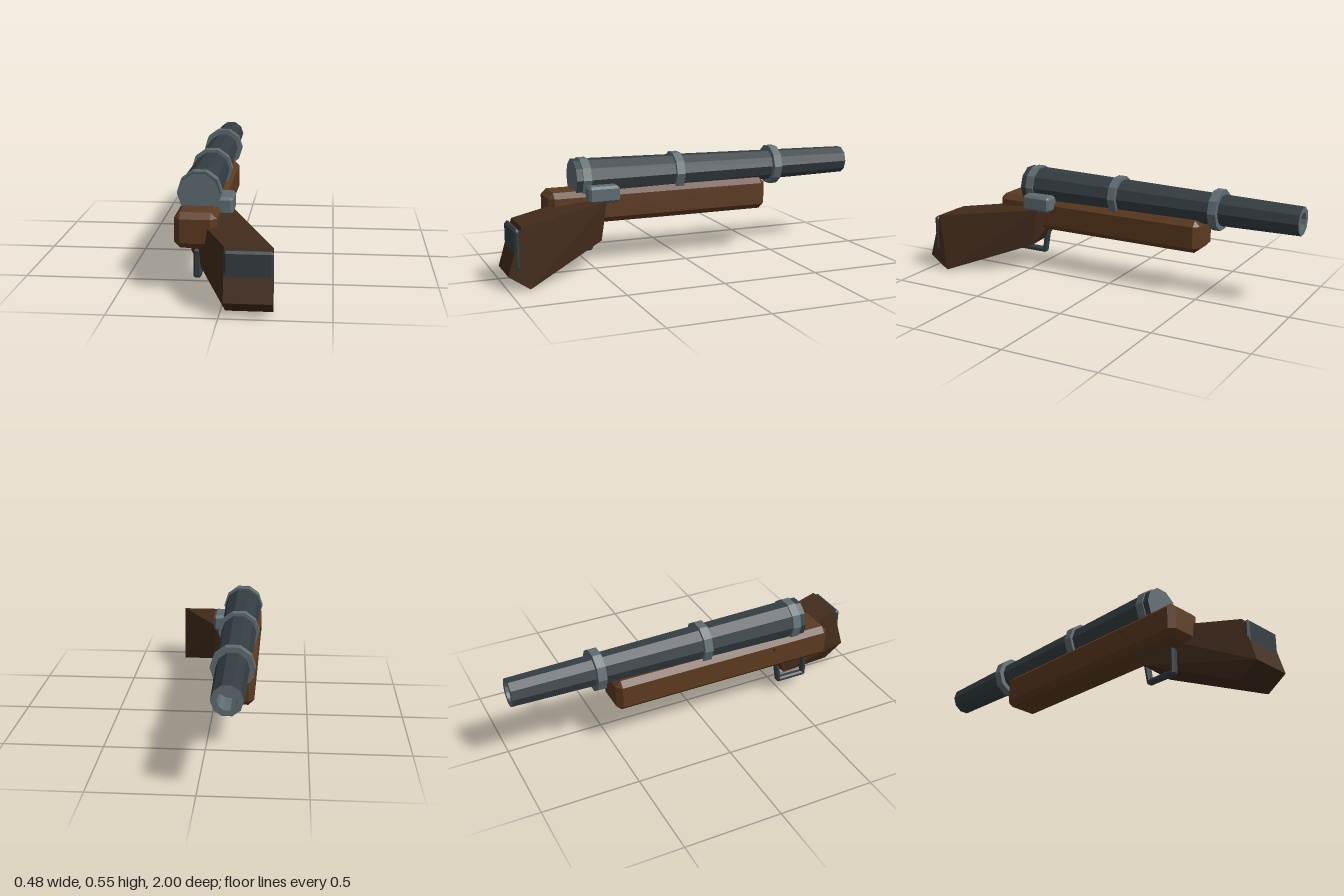
import * as THREE from 'three';
import { ConvexGeometry } from 'three/addons/geometries/ConvexGeometry.js';

const mat = (color, side = THREE.FrontSide) =>
  new THREE.MeshStandardMaterial({ color, flatShading: true, side });
const SIDES = 10, AXIS_X = -0.135, AXIS_Y = 0.454;

// Box with bevelled edges, given by its bounds and the bevel size
function bevelBox([x0, x1], [y0, y1], [z0, z1], c) {
  const h = [(x1 - x0) / 2, (y1 - y0) / 2, (z1 - z0) / 2];
  const pts = [];
  for (const sx of [-1, 1]) for (const sy of [-1, 1]) for (const sz of [-1, 1])
    for (let k = 0; k < 3; k++) {
      const d = h.map((v, i) => (i === k ? v : v - c));
      pts.push(new THREE.Vector3(sx * d[0], sy * d[1], sz * d[2]));
    }
  return new ConvexGeometry(pts).translate((x0 + x1) / 2, (y0 + y1) / 2, (z0 + z1) / 2);
}

// Turn a y-axis geometry onto the barrel axis, with corners at the sides
function onAxis(geo, z = 0) {
  return geo.rotateY(Math.PI / 2).rotateX(Math.PI / 2).translate(AXIS_X, AXIS_Y, z);
}

export function createModel() {
  const group = new THREE.Group();
  const wood = mat(0x5c3a20), darkWood = mat(0x422b1b);
  const steel = mat(0x343d42), grey = mat(0x5f6c72);
  const greyOpen = mat(0x5f6c72, THREE.DoubleSide);
  const add = (name, geo, material) => {
    const mesh = new THREE.Mesh(geo, material);
    mesh.name = name;
    group.add(mesh);
    return mesh;
  };

  // Tapered barrel, rear at +z and muzzle at -z
  add('barrel', onAxis(new THREE.CylinderGeometry(0.101, 0.073, 1.575, SIDES, 1, true), -0.2125), steel);
  add('breechCap', new THREE.CircleGeometry(0.101, SIDES).translate(AXIS_X, AXIS_Y, 0.575), grey);
  const bore = [[0, -0.85], [0.045, -0.85], [0.045, -1], [0.073, -1]].map(p => new THREE.Vector2(...p));
  add('muzzle', onAxis(new THREE.LatheGeometry(bore, SIDES)), greyOpen);

  // Bands around the barrel
  for (const z of [0.52, 0.01, -0.56])
    add('barrelBand', onAxis(new THREE.CylinderGeometry(0.107, 0.107, 0.045, SIDES), z), grey);

  // Fore stock under the barrel
  add('foreStock', bevelBox([-0.234, -0.036], [0.228, 0.398], [-0.487, 0.722], 0.028), wood);

  // Butt stock, angled off to the left
  add('buttStock', new ConvexGeometry([
    [0.022, 0.075, 1], [0.238, 0.075, 1],
    [0.022, 0.003, 0.895], [0.238, 0.003, 0.895],
    [0.022, 0.31, 0.93], [0.238, 0.31, 0.93],
    [-0.182, 0.152, 0.49], [0.022, 0.152, 0.47],
    [-0.242, 0.362, 0.38], [0.022, 0.352, 0.44],
  ].map(p => new THREE.Vector3(...p))), darkWood);
  add('buttPlate', bevelBox([0.02, 0.241], [0.1, 0.3], [0.935, 0.967], 0.011), steel);

  // Side lock
  add('lock', bevelBox([-0.08, 0.023], [0.342, 0.428], [0.365, 0.53], 0.013), grey);

  // Trigger guard: two legs and a bottom bar
  const gx = [-0.153, -0.117];
  add('guardBar', bevelBox(gx, [0.067, 0.094], [0.475, 0.65], 0.008), steel);
  add('guardRearLeg', bevelBox(gx, [0.075, 0.207], [0.625, 0.65], 0.008), steel);
  const leg = add('guardFrontLeg', bevelBox(gx, [-0.09, 0.09], [-0.0125, 0.0125], 0.008), steel);
  leg.position.set(0, 0.16, 0.472);
  leg.rotation.x = -0.17;

  return group;
}
